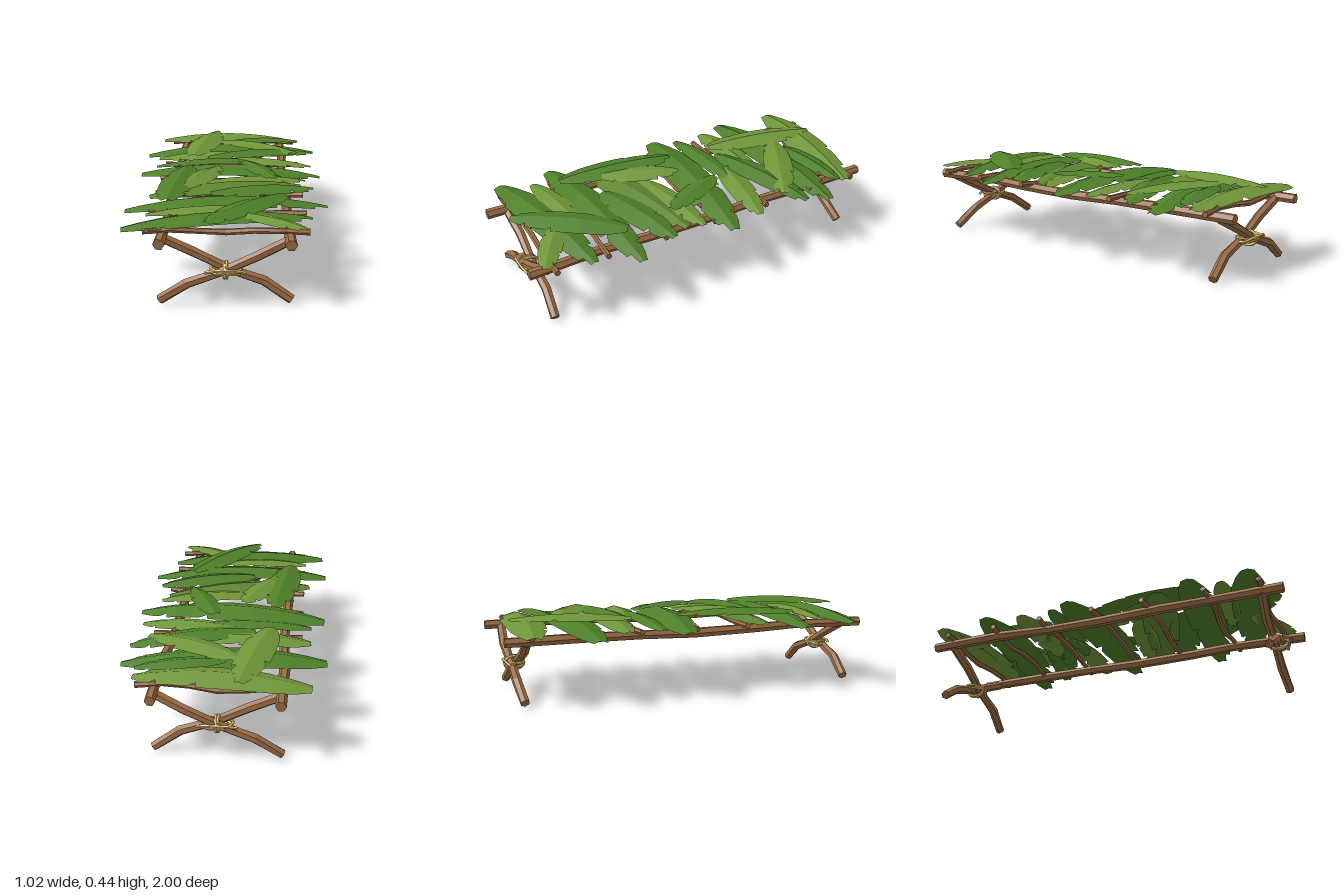
import * as THREE from 'three';

const wood = new THREE.MeshStandardMaterial({ color: 0x9c6e46, flatShading: true });
const rope = new THREE.MeshStandardMaterial({ color: 0xe6bf70, flatShading: true });
const greens = [0x4f8029, 0x5f8631, 0x6f9639].map((color) =>
  new THREE.MeshStandardMaterial({ color, flatShading: true, side: THREE.DoubleSide }));

function geometryFrom(positions, index) {
  const g = new THREE.BufferGeometry();
  g.setAttribute('position', new THREE.Float32BufferAttribute(positions, 3));
  g.setIndex(index);
  g.computeVertexNormals();
  return g;
}

// A capped six-sided pole through a few bent points
function pole(name, points, radius) {
  const sides = 6, pos = [], idx = [];
  const p = points.map((a) => new THREE.Vector3(...a));
  const last = p.length - 1, q = new THREE.Quaternion(), v = new THREE.Vector3();
  p.forEach((c, i) => {
    const dir = p[Math.min(i + 1, last)].clone().sub(p[Math.max(i - 1, 0)]).normalize();
    q.setFromUnitVectors(new THREE.Vector3(0, 0, 1), dir);
    const r = radius * (1 + 0.07 * Math.sin(i * 2.3));
    for (let k = 0; k < sides; k++) {
      const a = (k / sides) * Math.PI * 2;
      v.set(Math.cos(a) * r, Math.sin(a) * r, 0).applyQuaternion(q).add(c);
      pos.push(v.x, v.y, v.z);
    }
  });
  const start = pos.length / 3;
  pos.push(...p[0].toArray(), ...p[last].toArray());
  for (let k = 0; k < sides; k++) {
    const n = (k + 1) % sides, e = last * sides;
    for (let i = 0; i < last; i++) {
      const a = i * sides + k, b = i * sides + n;
      idx.push(a, b, b + sides, a, b + sides, a + sides);
    }
    idx.push(start, n, k, start + 1, e + k, e + n);
  }
  const mesh = new THREE.Mesh(geometryFrom(pos, idx), wood);
  mesh.name = name;
  return mesh;
}

// Leaf outline: position along the rib, half width on each side; sudden steps are torn notches
const outline = [
  [0, 0.34, 0.34], [0.08, 0.62, 0.56], [0.2, 0.88, 0.86], [0.206, 0.88, 0.66], [0.24, 0.9, 0.9],
  [0.38, 1, 1], [0.52, 1.02, 1], [0.62, 1, 0.96], [0.626, 0.72, 0.96], [0.67, 0.9, 0.93],
  [0.74, 0.86, 0.9], [0.746, 0.84, 0.56], [0.79, 0.8, 0.74], [0.85, 0.74, 0.68], [0.856, 0.46, 0.66],
  [0.89, 0.6, 0.6], [0.93, 0.52, 0.52], [0.936, 0.5, 0.28], [1, 0.26, 0.2],
];

// A leaf folded along its rib and draped over the arch of the bed
function leaf(x0, z0, x1, z1, width, tone, lift) {
  const pos = [], idx = [];
  const len = Math.hypot(x1 - x0, z1 - z0);
  const nx = -(z1 - z0) / len, nz = (x1 - x0) / len;
  outline.forEach(([t, a, b], i) => {
    const x = x0 + (x1 - x0) * t, z = z0 + (z1 - z0) * t;
    const y = 0.41 + lift - 0.1 * x * x - 0.035 * len * (2 * t - 1) ** 2;
    for (const s of [-a, 0, b]) {
      const w = s * width / 2;
      pos.push(x + nx * w, y - Math.abs(w) * 0.3, z + nz * w);
    }
    if (i) for (const k of [0, 1]) {
      const m = (i - 1) * 3 + k;
      idx.push(m, m + 1, m + 4, m, m + 4, m + 3);
    }
  });
  const mesh = new THREE.Mesh(geometryFrom(pos, idx), greens[tone]);
  mesh.name = 'leaf';
  return mesh;
}

// Start x, z, end x, z, width, shade, lift above the bed
const leaves = [
  [-0.44, -0.88, 0.41, -0.83, 0.21, 2, 0.01],
  [-0.51, -0.57, 0.5, -0.66, 0.22, 0, 0],
  [-0.02, -0.7, 0.41, -0.78, 0.12, 0, 0.012],
  [-0.22, -0.32, -0.1, -0.94, 0.18, 2, 0.03],
  [-0.08, -0.68, 0.39, -0.43, 0.16, 2, 0.025],
  [-0.14, -0.33, 0.48, -0.52, 0.17, 0, 0.015],
  [-0.43, -0.4, 0.16, -0.42, 0.16, 2, 0],
  [-0.43, -0.22, 0.2, -0.27, 0.12, 0, 0],
  [-0.05, -0.3, 0.46, -0.23, 0.15, 2, 0],
  [-0.5, -0.1, 0.5, -0.05, 0.23, 0, 0.01],
  [0.08, -0.18, 0.24, 0.18, 0.13, 0, 0.022],
  [-0.3, 0.58, -0.23, -0.07, 0.18, 0, 0.036],
  [-0.24, 0.38, -0.06, -0.03, 0.16, 2, 0.03],
  [-0.12, 0.17, 0.41, 0.08, 0.14, 2, 0],
  [-0.41, 0.37, 0.38, 0.16, 0.2, 1, 0.005],
  [-0.09, 0.42, 0.44, 0.27, 0.18, 0, 0.015],
  [-0.51, 0.56, 0.5, 0.48, 0.2, 0, 0.005],
  [-0.39, 0.7, 0.14, 0.64, 0.12, 2, 0],
  [-0.49, 0.86, 0.41, 0.7, 0.2, 0, 0.005],
  [0.28, 0.45, -0.09, 0.94, 0.18, 0, 0.03],
  [0.08, 0.76, 0.37, 0.94, 0.12, 2, 0.005],
];

// Rope lashing wound round the crossing of two legs
function lashing(z) {
  const group = new THREE.Group();
  group.name = 'ropeLashing';
  const add = (points, closed) => {
    const curve = new THREE.CatmullRomCurve3(points, closed);
    group.add(new THREE.Mesh(new THREE.TubeGeometry(curve, closed ? 20 : 6, 0.008, 5, closed), rope));
  };
  for (const [radius, tilt] of [[0.075, 0.12], [0.07, -0.16], [0.036, 1.4], [0.036, 1.75]]) {
    const points = [];
    for (let k = 0; k < 10; k++) {
      const a = (k / 10) * Math.PI * 2, r = Math.cos(a) * radius;
      points.push(new THREE.Vector3(r * Math.cos(tilt), r * Math.sin(tilt), Math.sin(a) * 0.05));
    }
    add(points, true);
  }
  // loose ends
  for (const s of [-1, 1]) {
    add([[0, 0.012, 0.05], [0.05 * s, 0.012, 0.05], [0.095 * s, -0.001, 0.035]]
      .map((a) => new THREE.Vector3(...a)), false);
  }
  group.position.set(0, 0.17, z);
  if (z < 0) group.rotation.y = Math.PI;
  return group;
}

export function createModel() {
  const model = new THREE.Group();

  // Side rails
  for (const s of [-1, 1]) {
    model.add(pole('sideRail', [[0.3 * s, 0.33, -1], [0.305 * s, 0.333, -0.6], [0.29 * s, 0.326, -0.3],
      [0.295 * s, 0.32, 0], [0.3 * s, 0.327, 0.35], [0.29 * s, 0.332, 0.6], [0.3 * s, 0.328, 1]], 0.026));
  }

  // Crossed legs with their lashings
  for (const z of [-0.9, 0.9]) {
    for (const s of [-1, 1]) {
      const d = 0.02 * s * Math.sign(z);
      model.add(pole('crossedLeg', [[-0.31 * s, 0.022, z + d * 0.4], [-0.18 * s, 0.11, z + d * 1.1],
        [-0.02 * s, 0.167, z + d * 0.9], [0.15 * s, 0.25, z + d * 1.2], [0.305 * s, 0.327, z + d * 0.5]], 0.024));
    }
    model.add(lashing(z));
  }

  // Crossbars resting on the rails
  [-0.89, -0.6, -0.31, 0, 0.28, 0.6, 0.88].forEach((z, i) => {
    const points = [];
    for (let k = 0; k <= 6; k++) {
      const wave = k % 6 ? Math.sin(k * 1.7 + i * 2.1) : 0;
      points.push([-0.385 + k * 0.129, 0.354 + 0.009 * wave, z + 0.012 * Math.cos(k * 1.3 + i)]);
    }
    model.add(pole('crossbar', points, 0.015));
  });

  // Leaf bedding
  const bedding = new THREE.Group();
  bedding.name = 'leafBedding';
  leaves.forEach((l) => bedding.add(leaf(...l)));
  model.add(bedding);
  return model;
}
